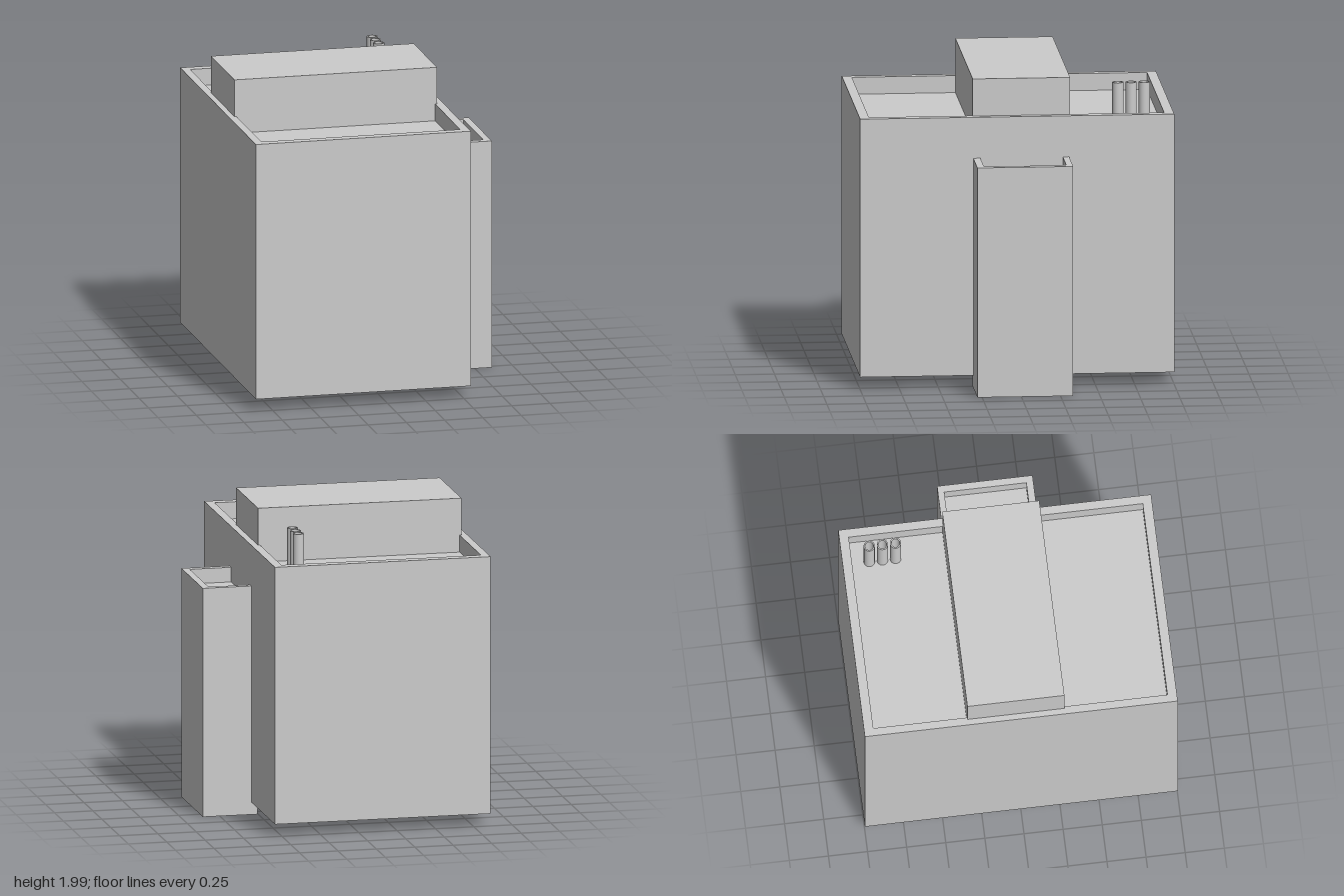
import * as THREE from 'three';

const grey = new THREE.MeshStandardMaterial({ color: 0xcccccc, flatShading: true });
const smoothGrey = new THREE.MeshStandardMaterial({ color: 0xcccccc });

// Solid block whose top is sunk inside a raised rim, skinned through rectangular loops
function recessedBlock(outer, inner, yBottom, yTop, yFloor) {
  const loop = ([x0, x1, z0, z1], y) => [[x0, y, z1], [x1, y, z1], [x1, y, z0], [x0, y, z0]];
  const loops = [loop(outer, yBottom), loop(outer, yTop), loop(inner, yTop), loop(inner, yFloor)];
  const positions = [];
  const quad = (a, b, c, d) => positions.push(...a, ...b, ...c, ...a, ...c, ...d);
  for (let k = 0; k < loops.length - 1; k++) {
    for (let i = 0; i < 4; i++) {
      const j = (i + 1) % 4;
      quad(loops[k][i], loops[k][j], loops[k + 1][j], loops[k + 1][i]);
    }
  }
  quad(...loops[3]);
  quad(...[...loops[0]].reverse());
  const geometry = new THREE.BufferGeometry();
  geometry.setAttribute('position', new THREE.Float32BufferAttribute(positions, 3));
  geometry.computeVertexNormals();
  return geometry;
}

export function createModel() {
  const building = new THREE.Group();
  building.name = 'building';
  const add = (name, geometry, material = grey) => {
    const mesh = new THREE.Mesh(geometry, material);
    mesh.name = name;
    building.add(mesh);
    return mesh;
  };
  const roofY = 1.64;

  // Main block with its roof parapet
  add('mainBlock', recessedBlock([-0.86, 0.545, -1, 1], [-0.81, 0.49, -0.94, 0.94], 0.08, 1.75, roofY));

  // Lower side tower, reaching slightly into the main block
  add('sideTower', recessedBlock([0.505, 0.86, -0.33, 0.28], [0.545, 0.815, -0.29, 0.235], 0, 1.485, 1.39));

  // Rooftop penthouse spanning the roof
  add('penthouse', new THREE.BoxGeometry(1.325, 1.99 - roofY, 0.62))
    .position.set(-0.16, (1.99 + roofY) / 2, -0.03);

  // Three hollow chimney pipes; repeated profile points keep the rims sharp
  const ro = 0.036, ri = 0.027, h = 1.925 - roofY;
  const profile = [[ro, 0], [ro, h], [ro, h], [ri, h], [ri, h], [ri, 0]]
    .map(([r, y]) => new THREE.Vector2(r, y));
  for (let i = 0; i < 3; i++) {
    const pipe = new THREE.Group();
    pipe.name = `chimneyPipe${i + 1}`;
    for (let s = 0; s < 6; s += 2) {
      const part = new THREE.Mesh(new THREE.LatheGeometry(profile.slice(s, s + 2), 24), smoothGrey);
      part.name = ['pipeOuterWall', 'pipeRim', 'pipeInnerWall'][s / 2];
      pipe.add(part);
    }
    pipe.position.set(0.352, roofY, -0.825 + i * 0.084);
    building.add(pipe);
  }
  return building;
}
